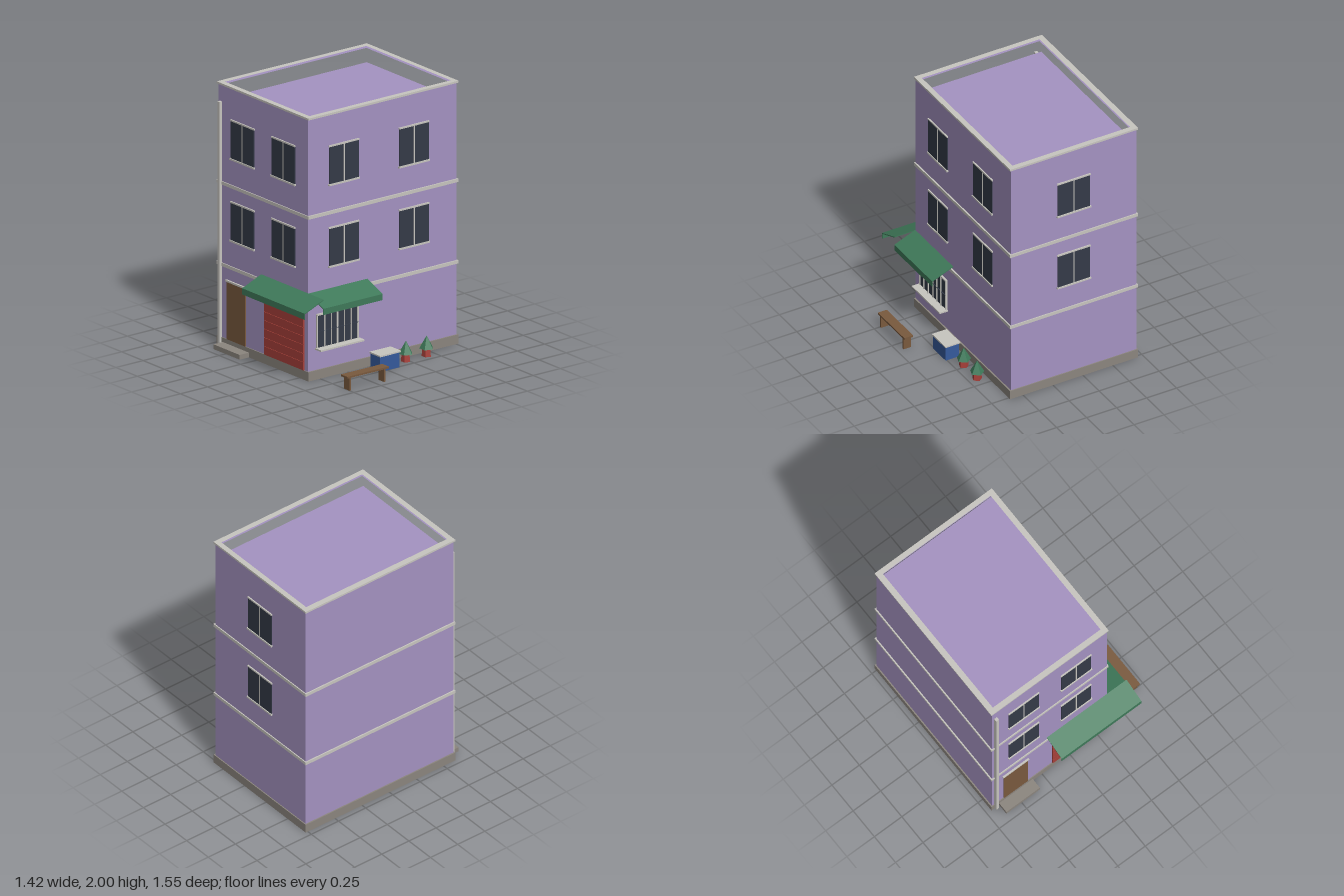
import * as THREE from 'three';

const mat = (name, color) => {
  const m = new THREE.MeshStandardMaterial({ color });
  m.name = name;
  return m;
};

export function createModel() {
  const wall = mat('lilac wall', 0xa593c2);
  const trim = mat('pale trim', 0xc8c6c0);
  const stone = mat('grey stone', 0x8c867f);
  const glass = mat('dark glass', 0x343a48);
  const green = mat('green', 0x3f7a5a);
  const red = mat('red', 0xa8403a);
  const wood = mat('brown wood', 0x7a5a3e);
  const blue = mat('blue', 0x355a9c);

  const root = new THREE.Group();
  root.name = 'townHouse';

  const add = (parent, name, geo, material) => {
    const m = new THREE.Mesh(geo, material);
    m.name = name;
    parent.add(m);
    return m;
  };
  // Box given by its minimum and maximum along each axis
  const box = (parent, name, material, x0, x1, y0, y1, z0, z1) => {
    const m = add(parent, name, new THREE.BoxGeometry(x1 - x0, y1 - y0, z1 - z0), material);
    m.position.set((x0 + x1) / 2, (y0 + y1) / 2, (z0 + z1) / 2);
    return m;
  };
  const group = (name, parent = root) => {
    const g = new THREE.Group();
    g.name = name;
    parent.add(g);
    return g;
  };
  // Rectangular frame lying flat; o and i are [x0, x1, z0, z1]
  const ring = (name, material, o, i, y0, y1) => {
    const rect = (P, [x0, x1, z0, z1]) => new P([[x0, -z0], [x1, -z0], [x1, -z1], [x0, -z1]]
      .map(([x, y]) => new THREE.Vector2(x, y)));
    const s = rect(THREE.Shape, o);
    s.holes.push(rect(THREE.Path, i));
    const geo = new THREE.ExtrudeGeometry(s, { depth: y1 - y0, bevelEnabled: false });
    geo.rotateX(-Math.PI / 2).translate(0, y0, 0);
    return add(root, name, geo, material);
  };

  // Body, parapet and trim bands
  const outer = [-0.7, 0.346, -0.762, 0.6];
  const edge = [-0.71, 0.357, -0.77, 0.607];
  const inner = [-0.665, 0.315, -0.73, 0.565];
  box(root, 'body', wall, outer[0], outer[1], 0, 1.86, outer[2], outer[3]);
  ring('parapet', wall, outer, inner, 1.86, 1.985);
  ring('coping', trim, edge, inner, 1.985, 2);
  ring('plinth', stone, edge, outer, 0, 0.07);
  ring('lowerBand', trim, edge, outer, 0.61, 0.635);
  ring('upperBand', trim, edge, outer, 1.23, 1.255);

  // Two-pane windows; local +z points out of the wall
  const addWindow = (x, y, z, turn, h) => {
    const g = group('window');
    g.position.set(x, y, z);
    g.rotation.y = turn;
    box(g, 'pane', glass, -0.135, 0.135, 0, h, -0.002, 0.007);
    box(g, 'mullion', trim, -0.005, 0.005, 0, h, 0, 0.009);
    box(g, 'lintel', trim, -0.139, 0.139, h - 0.005, h + 0.007, 0, 0.01);
    box(g, 'sill', trim, -0.142, 0.142, -0.006, 0.007, 0, 0.014);
  };
  for (const y of [0.83, 1.452]) {
    for (const x of [-0.414, 0.062]) addWindow(x, y, 0.6, 0, 0.294);
    for (const z of [0.276, -0.366]) addWindow(0.346, y, z, Math.PI / 2, 0.294);
    addWindow(-0.175, y, -0.762, Math.PI, 0.28);
  }

  // Drainpipe
  box(root, 'drainpipe', trim, -0.68, -0.655, 0, 1.86, 0.6, 0.625);

  // Front door and step
  const door = group('frontDoor');
  box(door, 'doorPanel', wood, -0.595, -0.38, 0.07, 0.507, 0.595, 0.608);
  box(door, 'doorLintel', trim, -0.605, -0.37, 0.507, 0.521, 0.595, 0.613);
  box(root, 'doorStep', stone, -0.64, -0.335, 0, 0.036, 0.6, 0.692);

  // Roller shutter with slats and housing
  const shutter = group('shutter');
  box(shutter, 'backing', red, -0.155, 0.3, 0.07, 0.535, 0.595, 0.607);
  const slats = 7, step = 0.46 / slats;
  for (let i = 0; i < slats; i++) {
    box(shutter, 'slat', red, -0.153, 0.298, 0.072 + i * step, 0.068 + (i + 1) * step, 0.6, 0.612);
  }
  box(shutter, 'housing', red, -0.165, 0.313, 0.53, 0.576, 0.6, 0.632);

  // Barred shop window on the side wall
  const shop = group('shopWindow');
  shop.position.set(0.346, 0, 0.338);
  shop.rotation.y = Math.PI / 2;
  box(shop, 'shopPane', glass, -0.185, 0.185, 0.235, 0.49, -0.002, 0.008);
  for (const s of [-1, 1]) {
    box(shop, 'frameSide', trim, s * 0.186 - 0.005, s * 0.186 + 0.005, 0.235, 0.49, 0, 0.014);
    for (const b of [0.06, 0.122]) {
      box(shop, 'bar', trim, s * b - 0.003, s * b + 0.003, 0.235, 0.49, 0.01, 0.018);
    }
  }
  box(shop, 'centreBar', trim, -0.007, 0.007, 0.235, 0.49, 0, 0.014);
  box(shop, 'crossRail', glass, -0.185, 0.185, 0.358, 0.362, 0.008, 0.016);
  box(shop, 'frameTop', trim, -0.191, 0.191, 0.483, 0.494, 0, 0.016);
  box(shop, 'shopSill', trim, -0.2, 0.2, 0.226, 0.238, 0, 0.07);

  // Awnings: a sloping sheet with a hanging valance, extruded along the wall
  const awning = (name, length) => {
    const pts = [[0, 0.667], [0.175, 0.597], [0.175, 0.55], [0.169, 0.55], [0.169, 0.592], [0, 0.659]];
    const s = new THREE.Shape(pts.map(([x, y]) => new THREE.Vector2(x, y)));
    return add(root, name, new THREE.ExtrudeGeometry(s, { depth: length, bevelEnabled: false }), green);
  };
  const frontAwning = awning('frontAwning', 0.725);
  frontAwning.rotation.y = -Math.PI / 2;
  frontAwning.position.set(0.525, 0, 0.6);
  const sideAwning = awning('sideAwning', 0.54);
  sideAwning.position.set(0.35, 0, 0.06);

  // Storage bin
  box(root, 'bin', blue, 0.4, 0.51, 0, 0.115, -0.11, 0.07);
  box(root, 'binLid', trim, 0.393, 0.517, 0.115, 0.126, -0.118, 0.076);

  // Potted shrubs
  for (const z of [-0.23, -0.42]) {
    const plant = group('pottedShrub');
    plant.position.set(0.43, 0, z);
    plant.rotation.y = Math.PI;
    add(plant, 'pot', new THREE.CylinderGeometry(0.03, 0.037, 0.065, 5).toNonIndexed(), red).position.y = 0.0325;
    add(plant, 'shrub', new THREE.ConeGeometry(0.054, 0.098, 5).toNonIndexed(), green).position.y = 0.107;
    plant.children.forEach((m) => m.geometry.computeVertexNormals());
  }

  // Bench
  const bench = group('bench');
  box(bench, 'seat', wood, 0.632, 0.706, 0.098, 0.112, 0.145, 0.525);
  for (const z of [0.176, 0.494]) box(bench, 'benchLeg', wood, 0.638, 0.7, 0, 0.098, z - 0.008, z + 0.008);

  return root;
}
